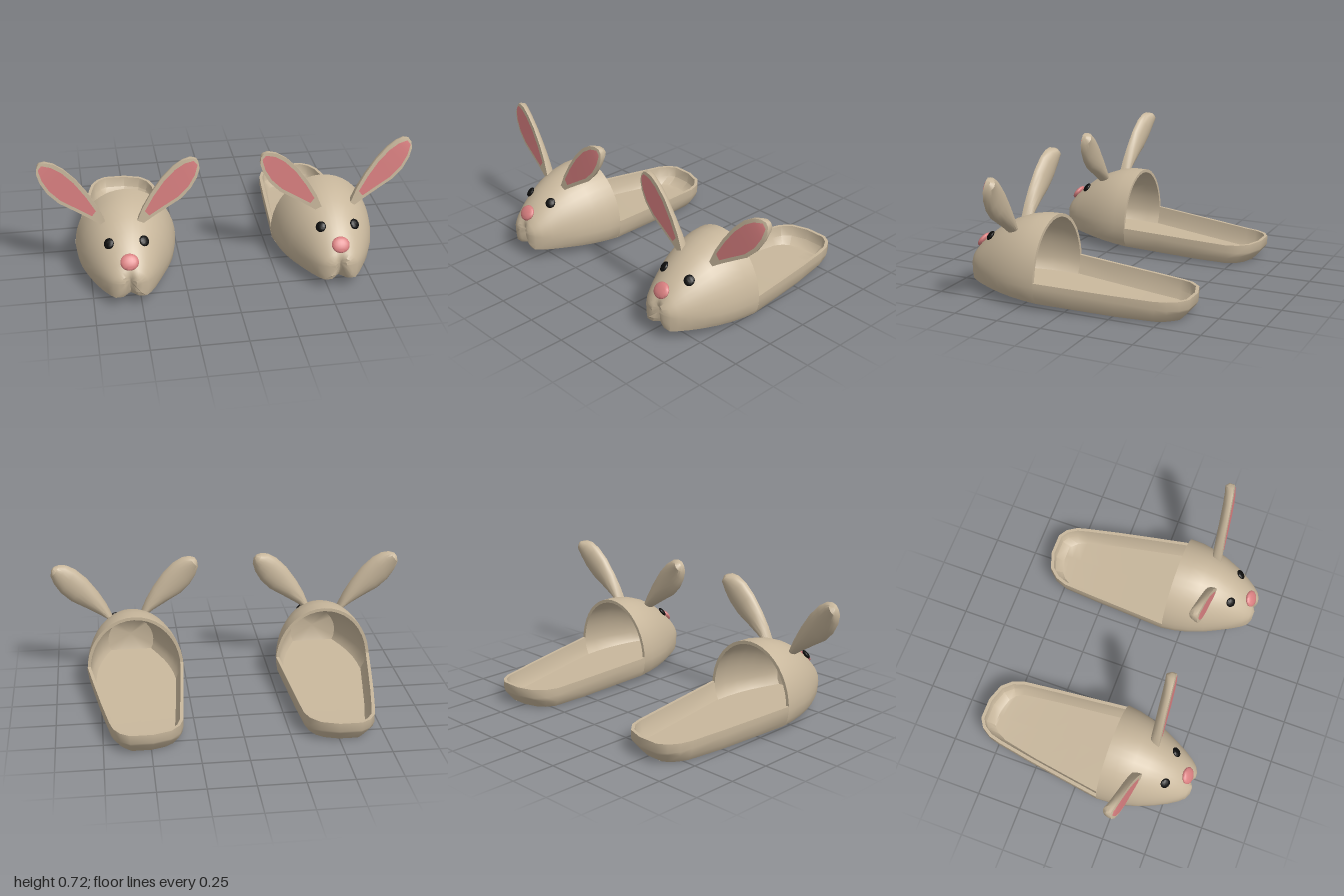
import * as THREE from 'three';
import { toCreasedNormals } from 'three/addons/utils/BufferGeometryUtils.js';

const V = (x, y, z) => new THREE.Vector3(x, y, z);
const lerp = THREE.MathUtils.lerp;
const clamp = THREE.MathUtils.clamp;

// Skin between rows of points; 'closed' joins the last point of a row to its first.
function loft(rows, closed) {
  const n = rows[0].length, index = [];
  for (let i = 0; i < rows.length - 1; i++) {
    for (let j = 0; j < (closed ? n : n - 1); j++) {
      const k = (j + 1) % n;
      const a = i * n + j, b = i * n + k, c = (i + 1) * n + k, d = (i + 1) * n + j;
      index.push(a, b, c, a, c, d);
    }
  }
  const g = new THREE.BufferGeometry().setFromPoints(rows.flat());
  g.setIndex(index);
  return g;
}

// Mirror across x when side is -1, then smooth all but the sharp edges.
function finish(geometry, side) {
  const g = geometry.toNonIndexed();
  g.deleteAttribute('uv');
  g.deleteAttribute('normal');
  if (side < 0) {
    const p = g.attributes.position, v = V(0, 0, 0), w = V(0, 0, 0);
    g.scale(-1, 1, 1);
    for (let i = 0; i < p.count; i += 3) {
      v.fromBufferAttribute(p, i + 1);
      w.fromBufferAttribute(p, i + 2);
      p.setXYZ(i + 1, w.x, w.y, w.z);
      p.setXYZ(i + 2, v.x, v.y, v.z);
    }
  }
  g.computeVertexNormals();
  return toCreasedNormals(g, 0.75);
}

const soleY = z => Math.max(0, 0.065 * (z + 0.42) / 1.03);

// Open heel half: plan outline from the right wall round the heel to the left wall
function trayGeometry() {
  const plan = [[0.27, 0.145], [0.287, -0.06], [0.305, -0.28], [0.323, -0.48], [0.345, -0.545],
    [0.395, -0.6], [0.49, -0.632], [0.61, -0.632], [0.66, -0.6], [0.695, -0.545],
    [0.712, -0.48], [0.75, -0.28], [0.787, -0.06], [0.82, 0.145]];
  const last = plan.length - 1;
  const rows = plan.map(([x, z], i) => {
    const p = plan[Math.max(i - 1, 0)], q = plan[Math.min(i + 1, last)];
    const out = new THREE.Vector2(q[1] - p[1], p[0] - q[0]).normalize();
    if (i === 0 || i === last) out.set(i ? 1 : -1, 0);
    const heel = clamp((-z - 0.45) / 0.15, 0, 1);
    const at = (inset, y) => V(x - out.x * inset, y, z - out.y * inset);
    const rim = lerp(0.155, 0.118, clamp((0.145 - z) / 0.615, 0, 1));
    const waist = lerp(0.13, 0.07, clamp((0.145 - z) / 0.7, 0, 1));
    const sole = at(0.03 + 0.025 * heel, soleY(z));
    const floor = at(0.045 + 0.025 * heel, soleY(z) + 0.02);
    return [V(0.54, sole.y, sole.z), sole, at(0.008, lerp(sole.y, waist, 0.4 + 0.4 * heel)),
      at(0, waist), at(0, rim), at(0.018, rim), at(0.026, lerp(floor.y, rim, 0.4)),
      floor, V(0.54, floor.y, floor.z)];
  });
  return loft(rows, false);
}

// Head: hollow dome of cross-sections [z, half width, top, waist, bottom]
function headGeometry() {
  const stations = [[0.145, 0.275, 0.45, 0.13], [0.22, 0.268, 0.45, 0.13], [0.3, 0.252, 0.435, 0.13],
    [0.38, 0.226, 0.405, 0.13], [0.46, 0.19, 0.36, 0.135], [0.53, 0.153, 0.305, 0.14],
    [0.58, 0.12, 0.258, 0.145], [0.61, 0.092, 0.222, 0.15], [0.627, 0.06, 0.196, 0.155, 0.095],
    [0.634, 0.03, 0.178, 0.158, 0.13], [0.636, 0, 0.16, 0.16, 0.16]];
  const lower = [[-0.97, 0.6], [-0.89, 1], [-0.45, 1], [-0.12, 1], [0, 1], [0.12, 1], [0.45, 1], [0.89, 1], [0.97, 0.6]];
  const ring = ([z, w, top, waist, bottom = soleY(z)], inset) => {
    const c = lerp(0.545, 0.557, clamp((z - 0.145) / 0.3, 0, 1));
    const pts = [], hw = Math.max(w - inset, 0);
    for (let j = 0; j <= 20; j++) {
      const t = Math.PI * j / 20;
      pts.push(V(c + hw * Math.cos(t), waist + (top - inset - waist) * Math.sin(t), z));
    }
    for (const [x, k] of lower) pts.push(V(c + hw * x, lerp(waist, bottom + inset, k), z));
    return pts;
  };
  const inner = stations.slice(0, 6).map(s => ring(s, 0.018));
  inner.push(inner[5].map(() => V(0.557, 0.17, 0.56)));
  const outer = stations.map(s => ring(s, 0));
  // groove of the mouth below the nose
  for (const p of outer.flat()) {
    if (p.z < 0.5) continue;
    p.z -= 0.042 * Math.exp(-(((p.x - 0.557) / 0.022) ** 2)) * clamp((0.235 - p.y) / 0.09, 0, 1);
  }
  return loft([...inner.reverse(), ...outer], true);
}

// Ear sections from base to tip: upper edge x, y and lower edge x, y
const earEdges = [[0.5, 0.375, 0.48, 0.36], [0.465, 0.46, 0.42, 0.4], [0.42, 0.54, 0.34, 0.45],
  [0.36, 0.625, 0.265, 0.495], [0.3, 0.685, 0.21, 0.55], [0.25, 0.715, 0.175, 0.61],
  [0.21, 0.722, 0.16, 0.66], [0.18, 0.715, 0.165, 0.695]];

// 'flip' turns the inner ear into the outer ear; z0 and z1 are the front at base and tip
function earGeometries(flip, z0, z1) {
  const back = [], lining = [];
  const n = earEdges.length - 1;
  earEdges.forEach(([ax, ay, bx, by], i) => {
    const z = lerp(z0, z1, i / n);
    const a = V(ax, ay, z), b = V(bx, by, z);
    if (flip) { a.x = 1.16 - a.x; b.x = 1.16 - b.x; }
    const mid = a.clone().lerp(b, 0.5), half = a.distanceTo(b) / 2;
    const depth = i === n ? 0.02 : 0.046;
    const row = [];
    for (let j = 0; j <= 10; j++) {
      const t = Math.PI * j / 10;
      const p = mid.clone().lerp(a, Math.cos(t));
      p.z -= 0.008 + depth * Math.sin(t);
      row.push(p);
    }
    row.push(b, mid, a);
    back.push(row);
    if (i > 0) {
      const k = Math.max((half - 0.02) / half, 0.3);
      const strip = [a, b].map(e => mid.clone().lerp(e, k));
      for (const p of strip) p.z += 0.004;
      lining.push(strip);
    }
  });
  // pull the end of the lining in from the tip
  lining[n - 1].forEach((p, j) => p.lerp(lining[n - 2][j], 0.65));
  const close = row => {
    const m = row[0].clone().lerp(row[10], 0.5);
    m.z -= 0.012;
    return row.map(() => m.clone());
  };
  back.unshift(close(back[0]));
  back.push(close(back[n + 1]));
  // keep faces outward whichever way the ear leans
  if (flip) { back.reverse(); } else { lining.reverse(); }
  return [loft(back, true), loft(lining, false)];
}

// Flattened ball pressed against the head along a direction
function button(center, direction, sx, sy, sz) {
  const q = new THREE.Quaternion().setFromUnitVectors(V(0, 0, 1), direction.normalize());
  const g = new THREE.SphereGeometry(1, 20, 14);
  return g.applyMatrix4(new THREE.Matrix4().compose(center, q, V(sx, sy, sz)));
}

export function createModel() {
  const material = (name, color) => {
    const m = new THREE.MeshStandardMaterial({ color, side: THREE.DoubleSide });
    m.name = name;
    return m;
  };
  const fur = material('beige fur', 0xc8b79c);
  const pink = material('pink', 0xd87f80);
  const black = material('black', 0x0c0c0c);

  const model = new THREE.Group();
  model.name = 'rabbitSlippers';
  for (const side of [1, -1]) {
    const slipper = new THREE.Group();
    slipper.name = side > 0 ? 'leftSlipper' : 'rightSlipper';
    const add = (name, geometry, mat) => {
      const mesh = new THREE.Mesh(finish(geometry, side), mat);
      mesh.name = name;
      slipper.add(mesh);
    };
    add('heelTray', trayGeometry(), fur);
    add('head', headGeometry(), fur);

    for (const [name, flip, z0, z1] of [['innerEar', false, 0.392, 0.364], ['outerEar', true, 0.358, 0.3]]) {
      const [shell, lining] = earGeometries(flip, z0, z1);
      add(name, shell, fur);
      add(name + 'Lining', lining, pink);
    }
    for (const s of [-1, 1]) {
      add('eye', button(V(0.562 + s * 0.092, 0.322, 0.488), V(s * 0.45, 0.65, 0.65), 0.028, 0.029, 0.012), black);
    }
    add('nose', button(V(0.557, 0.262, 0.588), V(0, 0.6, 0.8), 0.048, 0.044, 0.018), pink);
    model.add(slipper);
  }
  return model;
}
